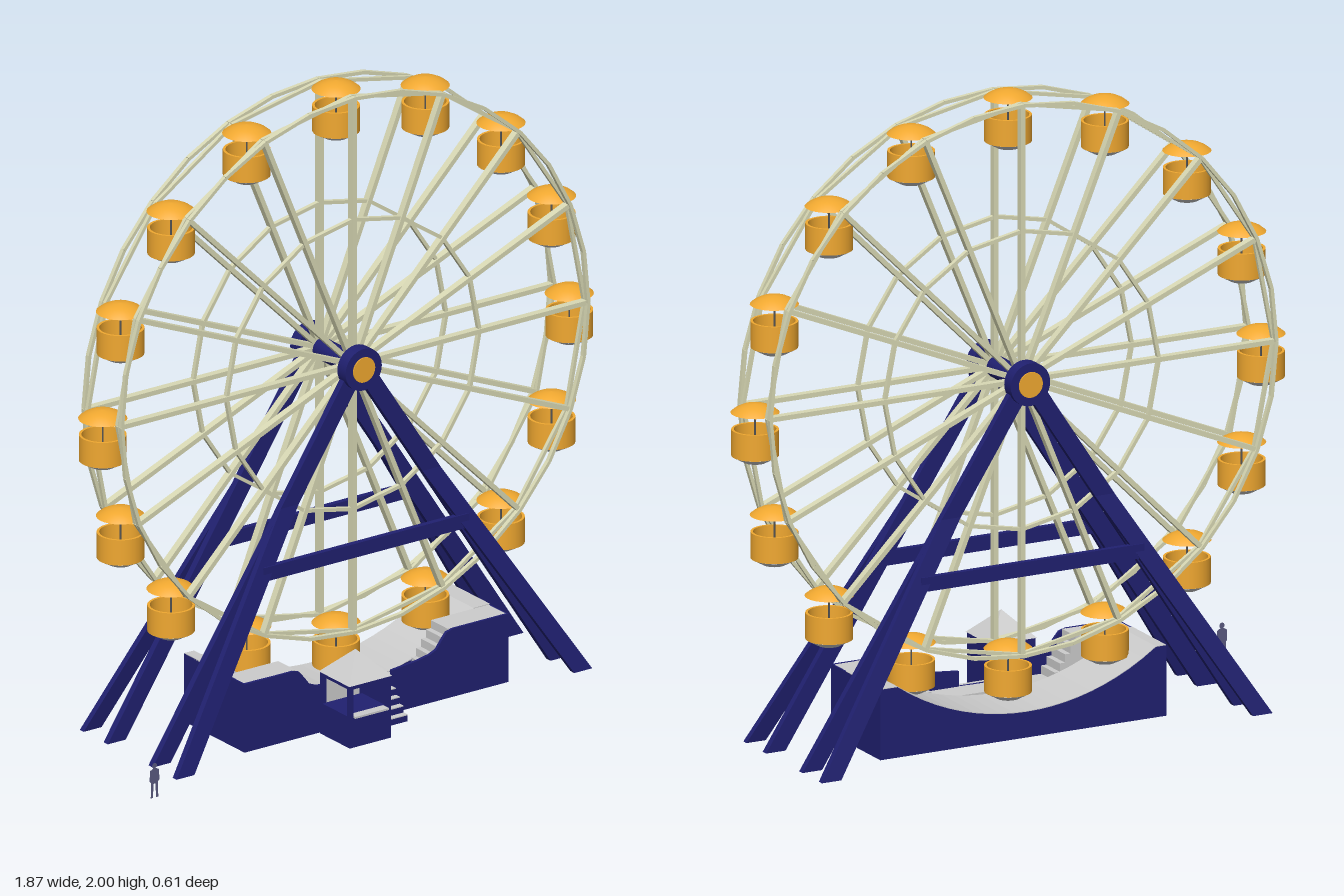
import * as THREE from 'three';

const mat = (color, side = THREE.FrontSide) => new THREE.MeshStandardMaterial({ color, side });
const NAVY = mat(0x202070), GOLD = mat(0xf0a830, THREE.DoubleSide), CREAM = mat(0xd8d8b4);
const GREY = mat(0xcccccc), DARK = mat(0x555555), CLOTH = mat(0x5a5a80, THREE.DoubleSide);

const HUB_Y = 1.11, MID_Z = -0.055, R = 0.862, COUNT = 16;

function add(parent, name, geometry, material, x = 0, y = 0, z = 0) {
  const m = new THREE.Mesh(geometry, material);
  m.name = name;
  m.position.set(x, y, z);
  parent.add(m);
  return m;
}

function group(parent, name) {
  const g = new THREE.Group();
  g.name = name;
  parent.add(g);
  return g;
}

// box given by its limits
function block(parent, name, material, x0, x1, y0, y1, z0, z1) {
  return add(parent, name, new THREE.BoxGeometry(x1 - x0, y1 - y0, z1 - z0), material,
    (x0 + x1) / 2, (y0 + y1) / 2, (z0 + z1) / 2);
}

// leaning post with level ends, sheared from foot to head
function post(parent, name, foot, head, wx, wz) {
  const h = head[1] - foot[1];
  const geo = new THREE.BoxGeometry(wx, h, wz).translate(0, h / 2, 0);
  const p = geo.attributes.position;
  for (let i = 0; i < p.count; i++) {
    const t = p.getY(i) / h;
    p.setX(i, p.getX(i) + t * (head[0] - foot[0]));
    p.setZ(i, p.getZ(i) + t * (head[2] - foot[2]));
  }
  geo.computeVertexNormals();
  return add(parent, name, geo, NAVY, ...foot);
}

// regular polygon of bars around the hub axis
function barRing(parent, name, radius, sides, z, w, d) {
  const ring = group(parent, name);
  for (let i = 0; i < sides; i++) {
    const a = (i + 0.5) / sides * Math.PI * 2, ap = radius * Math.cos(Math.PI / sides);
    const bar = add(ring, name + 'Bar', new THREE.BoxGeometry(2 * radius * Math.sin(Math.PI / sides), w, d),
      CREAM, -Math.sin(a) * ap, Math.cos(a) * ap, z);
    bar.rotation.z = a;
  }
}

function extrude(points, z0, z1) {
  const shape = new THREE.Shape(points.map(([x, y]) => new THREE.Vector2(x, y)));
  return new THREE.ExtrudeGeometry(shape, { depth: z1 - z0, bevelEnabled: false }).translate(0, 0, z0);
}

function buildWheel() {
  const wheel = new THREE.Group();
  wheel.name = 'wheel';
  wheel.position.set(0, HUB_Y, MID_Z);
  for (const s of [1, -1]) {
    barRing(wheel, 'outerRim', R, 32, s * 0.095, 0.011, 0.014);
    barRing(wheel, 'innerRim', R, COUNT, s * 0.077, 0.011, 0.012);
    barRing(wheel, 'middleRing', 0.467, COUNT, s * 0.085, 0.011, 0.014);
    for (let i = 0; i < COUNT; i++) {
      const a = i / COUNT * Math.PI * 2;
      const spoke = add(wheel, 'spoke', new THREE.BoxGeometry(0.015, R, 0.024), CREAM,
        -Math.sin(a) * R / 2, Math.cos(a) * R / 2, s * 0.085);
      spoke.rotation.z = a;
    }
  }
  return wheel;
}

// open tub hanging from a domed canopy; origin at the pivot
function buildCabin() {
  const cabin = new THREE.Group();
  cabin.name = 'cabin';
  const v = (x, y) => new THREE.Vector2(x, y);
  const dome = [v(0.074, 0), v(0.06, 0.011), v(0.042, 0.02), v(0.022, 0.026), v(0, 0.028)];
  add(cabin, 'canopy', new THREE.LatheGeometry(dome, 28), GOLD);
  add(cabin, 'tubWall', new THREE.CylinderGeometry(0.072, 0.072, 0.082, 28, 1, true), GOLD, 0, -0.093, 0);
  add(cabin, 'tubLining', new THREE.CylinderGeometry(0.064, 0.064, 0.082, 28, 1, true), GOLD, 0, -0.093, 0);
  const rim = add(cabin, 'tubRim', new THREE.RingGeometry(0.064, 0.072, 28), GOLD, 0, -0.052, 0);
  rim.rotation.x = -Math.PI / 2;
  const floor = add(cabin, 'floor', new THREE.CircleGeometry(0.066, 28), GOLD, 0, -0.115, 0);
  floor.rotation.x = -Math.PI / 2;
  add(cabin, 'underside', new THREE.CylinderGeometry(0.071, 0.035, 0.02, 28), GREY, 0, -0.1445, 0);
  add(cabin, 'pole', new THREE.CylinderGeometry(0.003, 0.003, 0.14, 8), DARK, 0, -0.05, 0);
  const rod = add(cabin, 'pivotRod', new THREE.CylinderGeometry(0.003, 0.003, 0.19, 8), CREAM);
  rod.rotation.x = Math.PI / 2;
  return cabin;
}

function buildSupports(root) {
  const frame = group(root, 'supportFrame');
  for (const s of [1, -1]) {
    const z = o => MID_Z + s * o;
    for (const m of [1, -1]) {
      post(frame, 'uprightLeg', [m * 0.735, 0, z(0.115)], [m * 0.01, HUB_Y, z(0.115)], 0.066, 0.022);
      post(frame, 'splayedLeg', [m * 0.735, 0, z(0.238)], [m * 0.258, 0.73, z(0.115)], 0.066, 0.02);
    }
    add(frame, 'crossbar', new THREE.BoxGeometry(0.76, 0.045, 0.018), NAVY, 0, 0.54, z(0.148));
    const plate = add(frame, 'hubPlate', new THREE.CylinderGeometry(0.067, 0.067, 0.042, 32), NAVY, 0, HUB_Y, z(0.121));
    const cap = add(frame, 'hubCap', new THREE.CylinderGeometry(0.04, 0.04, 0.006, 32), GOLD, 0, HUB_Y, z(0.143));
    plate.rotation.x = cap.rotation.x = Math.PI / 2;
  }
  const axle = add(frame, 'axle', new THREE.CylinderGeometry(0.034, 0.034, 0.22, 24), NAVY, 0, HUB_Y, MID_Z);
  axle.rotation.x = Math.PI / 2;
}

function buildPlatform(root) {
  const base = group(root, 'platform');
  const X0 = -0.475, X1 = 0.5, TOP = 0.22, BACK = -0.175, FRONT = 0.135, SPLIT = 0.04;

  // rear body with a curved trough for the passing cabins
  const top = [[X0, TOP]];
  for (let i = 0; i <= 20; i++) {
    const x = -0.44 + 0.88 * i / 20;
    top.push([x, 0.842 - Math.sqrt(0.762 ** 2 - x * x)]);
  }
  top.push([X1, TOP]);
  add(base, 'troughBody', extrude([[X0, 0], [X1, 0], ...top.slice().reverse()], BACK, SPLIT), NAVY);
  const skin = [...top.map(([x, y]) => [x, y - 0.002]), ...top.slice().reverse().map(([x, y]) => [x, y + 0.002])];
  add(base, 'troughDeck', extrude(skin, BACK + 0.002, SPLIT), GREY);

  // front walkway: landing, stairs up to both ends
  block(base, 'walkwayFloor', NAVY, X0, X1, 0, 0.02, SPLIT, FRONT);
  block(base, 'landing', GREY, -0.21, 0.21, 0.02, 0.09, SPLIT, 0.127);
  for (const m of [1, -1]) {
    const end = m > 0 ? X1 : -X0;
    for (let i = 0; i < 5; i++) {
      const a = 0.21 + i * 0.018, b = i < 4 ? a + 0.018 : end - 0.005;
      block(base, 'walkwayStep', GREY, Math.min(m * a, m * b), Math.max(m * a, m * b),
        0.02, 0.116 + i * 0.026, SPLIT, 0.127);
    }
    block(base, 'endWall', NAVY, m > 0 ? X1 - 0.005 : X0, m > 0 ? X1 : X0 + 0.005, 0, TOP, SPLIT, FRONT);
  }

  // front wall with a sweeping parapet and an entrance gap
  const sweep = [[0.07, 0.138], [0.16, 0.146], [0.21, 0.155], [0.235, 0.166], [0.253, 0.19], [0.272, 0.213], [0.295, TOP]];
  const wall = [[X0, 0], [X1, 0], [X1, TOP], ...sweep.slice().reverse(), [0.07, 0.09], [-0.05, 0.09],
    ...sweep.map(([x, y], i) => [i ? -x : -0.05, y]), [X0, TOP]];
  add(base, 'frontWall', extrude(wall, 0.125, FRONT), NAVY);

  // entrance stairs
  for (let i = 0; i < 4; i++) {
    const h = 0.088 - i * 0.022, z1 = FRONT + 0.02 * (i + 1);
    block(base, 'entranceStep', NAVY, -0.05, 0.07, 0, h - 0.003, FRONT, z1);
    block(base, 'entranceTread', GREY, -0.05, 0.07, h - 0.003, h, FRONT, z1);
  }
}

function buildBooth(root) {
  const booth = group(root, 'ticketBooth');
  const x0 = -0.2, x1 = -0.048, z0 = 0.14, z1 = 0.293, w = 0.014;
  block(booth, 'boothBase', NAVY, x0, x1, 0, 0.1, z0, z1);
  block(booth, 'boothHeader', NAVY, x0, x1, 0.188, 0.2, z0, z1);
  for (const x of [x0, x1 - w]) for (const z of [z0, z1 - w])
    block(booth, 'boothPost', NAVY, x, x + w, 0.1, 0.188, z, z + w);
  block(booth, 'boothBackWall', NAVY, x0, x1, 0.1, 0.188, z0, z0 + 0.006);
  block(booth, 'boothInterior', GREY, x0 + w, x1 - w, 0.1, 0.188, z0 + 0.006, z0 + 0.012);
  block(booth, 'boothSideWall', NAVY, x1 - 0.006, x1, 0.1, 0.188, z0, z1);
  block(booth, 'counter', GREY, x0 + w, x1 - w, 0.096, 0.102, z1 - 0.02, z1 + 0.01);
  const roofGeo = new THREE.ConeGeometry(0.079 * Math.SQRT2, 0.08, 4).rotateY(Math.PI / 4).toNonIndexed();
  roofGeo.computeVertexNormals();
  add(booth, 'boothRoof', roofGeo, GREY, (x0 + x1) / 2, 0.24, (z0 + z1) / 2);
}

// flat standing figure for scale
function buildFigure(root) {
  const figure = group(root, 'scaleFigure');
  figure.position.set(-0.905, 0, 0.27);
  const half = [[0.003, 0.045], [0.006, 0], [0.014, 0], [0.013, 0.05], [0.018, 0.055], [0.017, 0.088], [0.005, 0.095]];
  const pts = [...half, ...half.slice().reverse().map(([x, y]) => [-x, y])];
  add(figure, 'figureBody', new THREE.ShapeGeometry(new THREE.Shape(pts.map(p => new THREE.Vector2(...p)))), CLOTH);
  add(figure, 'figureHead', new THREE.CircleGeometry(0.009, 12), CLOTH, 0, 0.103, 0);
}

export function createModel() {
  const root = new THREE.Group();
  root.name = 'ferrisWheel';
  root.add(buildWheel());
  const cabin = buildCabin();
  for (let i = 0; i < COUNT; i++) {
    const a = i / COUNT * Math.PI * 2, c = cabin.clone();
    c.position.set(Math.sin(a) * R, HUB_Y + Math.cos(a) * R, MID_Z);
    root.add(c);
  }
  buildSupports(root);
  buildPlatform(root);
  buildBooth(root);
  buildFigure(root);
  return root;
}
